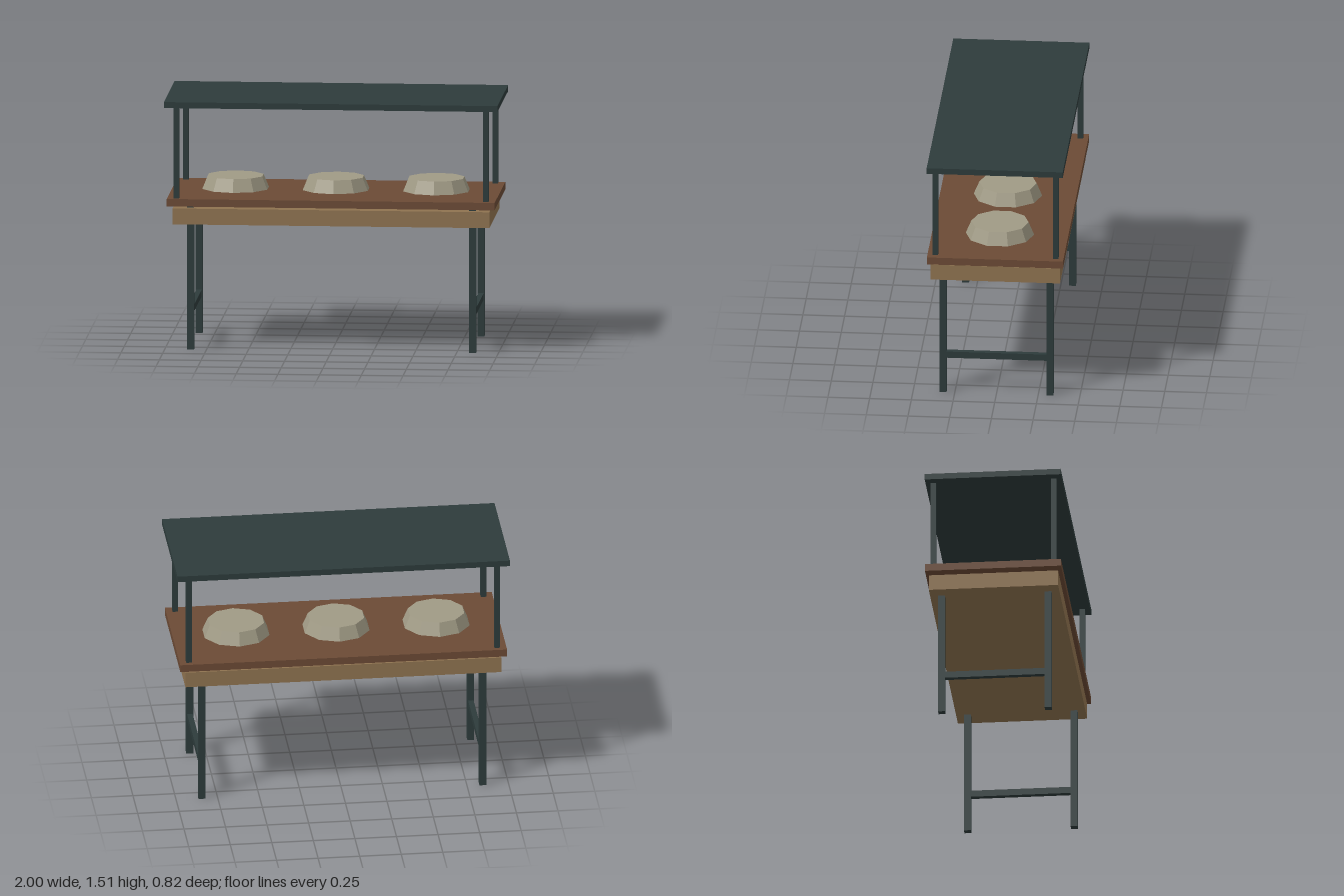
import * as THREE from 'three';

export function createModel() {
  const group = new THREE.Group();
  group.name = 'servingTable';

  const material = (name, color, flatShading = false) => {
    const m = new THREE.MeshStandardMaterial({ color, flatShading });
    m.name = name;
    return m;
  };
  const metal = material('darkMetal', 0x2d3b3b);
  const darkWood = material('darkWood', 0x6b4a35);
  const lightWood = material('lightWood', 0x8f7350);
  const dishGrey = material('dishGrey', 0xa09a85, true);

  const add = (name, geometry, mat, x, y, z) => {
    const mesh = new THREE.Mesh(geometry, mat);
    mesh.name = name;
    mesh.position.set(x, y, z);
    group.add(mesh);
  };
  // Box spanning y0 to y1, centred on x and z
  const box = (name, mat, w, d, y0, y1, x = 0, z = 0) =>
    add(name, new THREE.BoxGeometry(w, y1 - y0, d), mat, x, (y0 + y1) / 2, z);

  // Canopy, table top and the deep frame under it
  box('canopy', metal, 2, 0.816, 1.47, 1.506);
  box('tableTop', darkWood, 1.966, 0.816, 0.875, 0.92);
  box('tableFrame', lightWood, 1.9, 0.776, 0.764, 0.86);

  // Legs, canopy posts and the cross rails at each end
  for (const sx of [-1, 1]) {
    for (const sz of [-1, 1]) {
      box('leg', metal, 0.041, 0.041, 0, 0.875, sx * 0.845, sz * 0.32);
      box('canopyPost', metal, 0.033, 0.033, 0.92, 1.47, sx * 0.927, sz * 0.361);
    }
    box('legRail', metal, 0.033, 0.6, 0.222, 0.262, sx * 0.845);
  }

  // Ten-sided domed dishes, just clear of the table top
  const dish = new THREE.CylinderGeometry(0.172, 0.205, 0.078, 10);
  for (const x of [-0.602, 0, 0.602]) add('dish', dish, dishGrey, x, 0.968, 0);

  return group;
}
